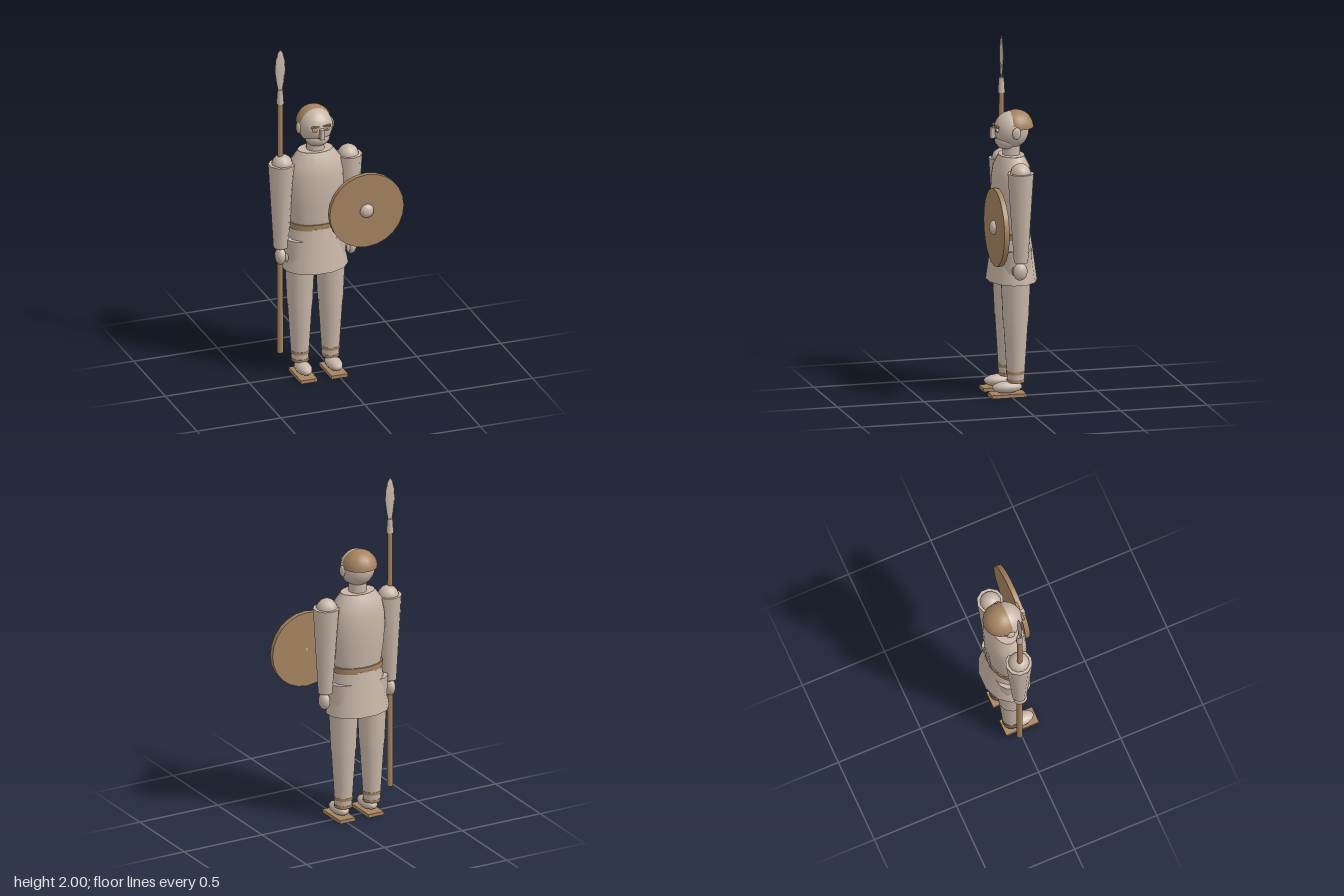
import * as THREE from 'three';

export function createModel() {
  const cloth = new THREE.MeshStandardMaterial({ color: 0xc8b6a8 });
  cloth.name = 'pale clay';
  const brown = new THREE.MeshStandardMaterial({ color: 0xa5835f });
  brown.name = 'brown leather and wood';

  const group = new THREE.Group();
  group.name = 'spearman';
  const figure = new THREE.Group(); // body, centred on its own axis
  figure.name = 'figure';
  figure.position.set(-0.095, 0, -0.03);
  group.add(figure);

  const add = (parent, name, geo, mat, x = 0, y = 0, z = 0) => {
    const m = new THREE.Mesh(geo, mat);
    m.name = name;
    m.position.set(x, y, z);
    parent.add(m);
    return m;
  };
  const lathe = (pts, seg, depth = 1) =>
    new THREE.LatheGeometry(pts.map(p => new THREE.Vector2(p[0], p[1])), seg, Math.PI / seg).scale(1, 1, depth);
  const ball = (rx, ry, rz, w = 14, h = 10) => new THREE.SphereGeometry(1, w, h).scale(rx, ry, rz);
  const box = (w, h, d) => new THREE.BoxGeometry(w, h, d);
  const drum = (top, bottom, y0, y1, seg) =>
    new THREE.CylinderGeometry(top, bottom, y1 - y0, seg).translate(0, (y0 + y1) / 2, 0);

  // Torso, belt and tunic skirt
  add(figure, 'torso', lathe([[0, 0.88], [0.138, 0.88], [0.145, 0.95], [0.16, 1.05], [0.169, 1.15],
    [0.165, 1.23], [0.15, 1.3], [0.103, 1.365]], 16, 0.67), cloth);
  add(figure, 'torsoTop', drum(0.103, 0.103, 1.36, 1.366, 16).scale(1, 1, 0.7), cloth);
  add(figure, 'belt', drum(0.152, 0.152, 0.9, 0.935, 16).scale(1, 1, 0.68), brown);
  add(figure, 'skirt', drum(0.143, 0.19, 0.65, 0.91, 12).rotateY(Math.PI / 12).scale(1, 1, 0.74), cloth);

  // Head
  const head = new THREE.Group();
  head.name = 'head';
  figure.add(head);
  add(head, 'neck', drum(0.05, 0.052, 1.34, 1.43, 12), cloth);
  add(head, 'skull', ball(0.098, 0.105, 0.1, 18, 14), cloth, 0, 1.507, 0);
  add(head, 'jaw', ball(0.072, 0.052, 0.062), cloth, 0, 1.447, 0.032);
  add(head, 'nose', box(0.025, 0.06, 0.035), cloth, 0, 1.493, 0.104);
  add(head, 'mouth', box(0.034, 0.008, 0.012), brown, 0, 1.466, 0.094);
  const hair = new THREE.SphereGeometry(1, 16, 7, 0, Math.PI * 2, 0, Math.PI / 2).scale(0.1, 0.098, 0.1);
  add(head, 'hair', hair, brown, 0, 1.52, -0.026);
  add(head, 'hairBase', new THREE.CircleGeometry(0.1, 16).rotateX(Math.PI / 2), brown, 0, 1.52, -0.026);

  for (const [s, side] of [[1, 'left'], [-1, 'right']]) {
    // Face details
    add(head, side + 'Ear', ball(0.012, 0.034, 0.026, 10, 8), cloth, s * 0.099, 1.502, -0.004);
    add(head, side + 'Eye', ball(0.015, 0.011, 0.012, 10, 8), cloth, s * 0.036, 1.514, 0.09);
    add(head, side + 'Pupil', ball(0.007, 0.008, 0.005, 8, 6), brown, s * 0.036, 1.514, 0.1);
    add(head, side + 'Brow', box(0.044, 0.009, 0.014), brown, s * 0.034, 1.534, 0.093);

    // Arm
    const arm = new THREE.Group();
    arm.name = side + 'Arm';
    arm.position.x = s * 0.2;
    figure.add(arm);
    add(arm, 'shoulder', ball(0.06, 0.06, 0.06, 12, 9), cloth, -s * 0.003, 1.295, 0);
    const sleeve = drum(0.076, 0.041, 0.79, 1.3, 10);
    const p = sleeve.attributes.position;
    for (let i = 0; i < p.count; i++) if (p.getY(i) < 1) p.setX(i, p.getX(i) + s * 0.006);
    add(arm, 'sleeve', sleeve, cloth);
    add(arm, 'hand', ball(0.031, 0.05, 0.042, 12, 9), cloth, s * 0.01, 0.738, 0.006);
    add(arm, 'thumb', ball(0.011, 0.026, 0.012, 8, 6), cloth, -s * 0.016, 0.735, 0.035);

    // Leg
    const leg = new THREE.Group();
    leg.name = side + 'Leg';
    leg.position.x = s * 0.091;
    figure.add(leg);
    add(leg, 'thigh', drum(0.092, 0.073, 0.43, 0.84, 14), cloth);
    add(leg, 'shin', drum(0.071, 0.048, 0.08, 0.44, 14), cloth);
    add(leg, 'upperAnkleBand', drum(0.054, 0.054, 0.128, 0.145, 14), brown);
    add(leg, 'lowerAnkleBand', drum(0.051, 0.051, 0.083, 0.098, 14), brown);
    add(leg, 'foot', ball(0.045, 0.034, 0.087), cloth, 0, 0.053, 0.049);
    add(leg, 'sole', box(0.098, 0.02, 0.2), brown, 0, 0.01, 0.049);
  }

  // Spear
  const spear = new THREE.Group();
  spear.name = 'spear';
  spear.position.set(-0.304, 0, -0.03);
  group.add(spear);
  add(spear, 'shaft', drum(0.015, 0.018, 0.145, 1.69, 10), brown);
  add(spear, 'socket', drum(0.015, 0.021, 1.67, 1.755, 10), cloth);
  const blade = new THREE.LatheGeometry([[0.012, 1.74], [0.022, 1.8], [0.032, 1.87], [0.028, 1.93],
    [0.016, 1.98], [0, 2]].map(q => new THREE.Vector2(...q)), 8).scale(1, 1, 0.25);
  add(spear, 'blade', blade, cloth);

  // Round shield with boss
  const shield = new THREE.Group();
  shield.name = 'shield';
  shield.position.set(0.15, 1.01, 0.122);
  group.add(shield);
  add(shield, 'shieldBoard', new THREE.CylinderGeometry(0.221, 0.221, 0.029, 24).rotateX(Math.PI / 2), brown);
  add(shield, 'boss', ball(0.041, 0.041, 0.03, 12, 8), cloth, 0, 0, 0.014);

  return group;
}
